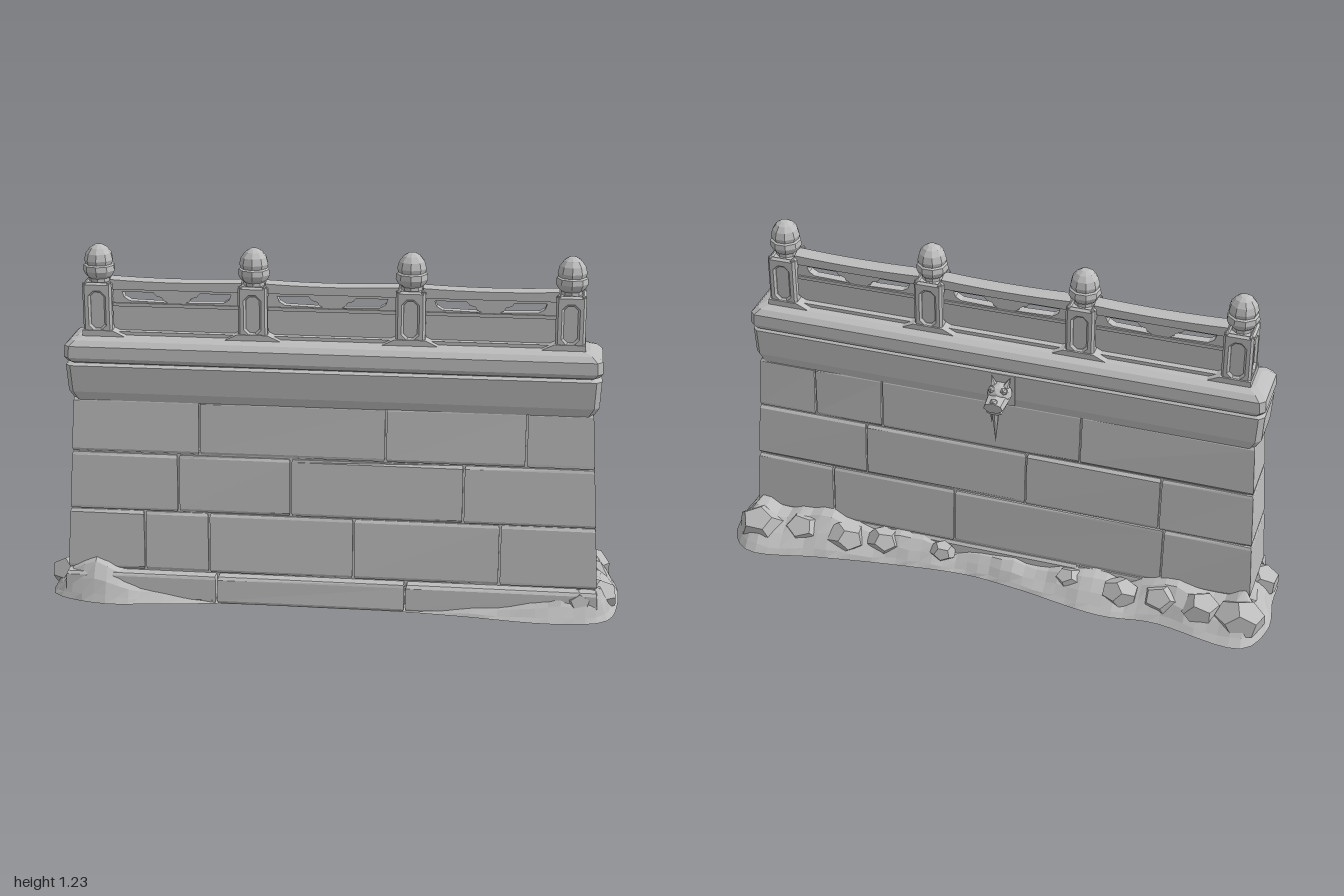
import * as THREE from 'three';

const stone = new THREE.MeshStandardMaterial({ color: 0xbdbdbd, flatShading: true, side: THREE.DoubleSide });
stone.name = 'grey stone';

let seed = 7;
const rnd = () => ((seed = (seed * 16807) % 2147483647) / 2147483647) - 0.5;

function add(parent, name, geo, x = 0, y = 0, z = 0) {
  const m = new THREE.Mesh(geo, stone);
  m.name = name;
  m.position.set(x, y, z);
  parent.add(m);
  return m;
}

// Skin between rings of [x, y, z]; rings run counter-clockwise seen from above, bottom first
function loft(rings, capBottom, capTop) {
  const pos = [], n = rings[0].length;
  const tri = (...p) => p.forEach(q => pos.push(...q));
  for (let k = 0; k + 1 < rings.length; k++) {
    for (let i = 0; i < n; i++) {
      const j = (i + 1) % n, [lo, hi] = [rings[k], rings[k + 1]];
      tri(lo[i], lo[j], hi[j]);
      tri(lo[i], hi[j], hi[i]);
    }
  }
  const first = rings[0], last = rings[rings.length - 1];
  for (let i = 1; i + 1 < n; i++) {
    if (capTop) tri(last[0], last[i], last[i + 1]);
    if (capBottom) tri(first[0], first[i + 1], first[i]);
  }
  const g = new THREE.BufferGeometry();
  g.setAttribute('position', new THREE.Float32BufferAttribute(pos, 3));
  g.computeVertexNormals();
  return g;
}

// Rectangle with clipped corners
function rectRing(y, hx, zf, zb, c = 0.012) {
  return [[-hx + c, y, zf], [hx - c, y, zf], [hx, y, zf - c], [hx, y, zb + c],
    [hx - c, y, zb], [-hx + c, y, zb], [-hx, y, zb + c], [-hx, y, zf - c]];
}

const polygon = pts => new THREE.Shape(pts.map(p => new THREE.Vector2(...p)));
const extrude = (shape, depth) =>
  new THREE.ExtrudeGeometry(shape, { depth, bevelEnabled: false }).translate(0, 0, -depth / 2);

// Battered wall faces
const frontZ = y => 0.163 - 0.06 * y;
const backZ = y => -0.09 + 0.062 * y;
const halfX = y => 0.925 - 0.055 * y;
const MID = 0.04, GAP = 0.003;

function buildWall(root) {
  const wall = new THREE.Group();
  wall.name = 'wall';
  root.add(wall);
  // Hollow core, open underneath
  add(wall, 'wallCore', loft([0, 0.72].map(y =>
    rectRing(y, halfX(y) - 0.012, frontZ(y) - 0.01, backZ(y) + 0.01)), false, true));

  // Courses: bottom, top, seams on the front, seams on the back
  const courses = [
    [0, 0.095, [-0.39, 0.265], [-0.3, 0.35]],
    [0.1, 0.312, [-0.645, -0.42, 0.083, 0.585], [-0.6, 0.16, 0.62]],
    [0.316, 0.518, [-0.525, -0.135, 0.457], [-0.58, -0.1, 0.49]],
    [0.523, 0.712, [-0.45, 0.19, 0.665], [-0.29, 0.43, 0.68]],
  ];
  courses.forEach(([y0, y1, front, back], row) => {
    [front, back].forEach((seams, side) => {
      const xs = [-2, ...seams, 2];
      for (let i = 0; i + 1 < xs.length; i++) {
        const step = row === 0 && side === 0 ? 0.032 : 0;
        const face = y => (side ? backZ(y) : frontZ(y) + step);
        const left = y => (i === 0 ? -halfX(y) : xs[i] + GAP);
        const right = y => (i === xs.length - 2 ? halfX(y) : xs[i + 1] - GAP);
        const ring = (y, inset) => {
          const w = side ? inset : -inset;
          const l = left(y) + inset * 0.6, r = right(y) - inset * 0.6;
          const za = face(y) + w + rnd() * 0.006, zb = face(y) + w + rnd() * 0.006;
          // The footing course is only a facing around the hollow core
          const inner = row ? MID : face(y) - (side ? -0.012 : 0.043);
          return side ? [[l, y, inner], [r, y, inner], [r, y, zb], [l, y, za]]
            : [[l, y, za], [r, y, zb], [r, y, inner], [l, y, inner]];
        };
        add(wall, side ? 'backBlock' : 'frontBlock', loft([
          ring(y0, 0.005), ring(y0 + 0.01, 0), ring(y1 - 0.01, 0), ring(y1, 0.005)], true, true));
      }
    });
  });

  // Cornice and coping
  add(wall, 'cornice', loft([
    [0.705, 0.885, 0.12, -0.046], [0.735, 0.903, 0.128, -0.05], [0.83, 0.908, 0.138, -0.051],
    [0.838, 0.893, 0.125, -0.042], [0.845, 0.9, 0.14, -0.055], [0.86, 0.911, 0.148, -0.062],
    [0.9, 0.908, 0.146, -0.06], [0.918, 0.89, 0.13, -0.045], [0.928, 0.865, 0.108, -0.022],
  ].map(r => rectRing(...r, 0.018)), true, true));
}

// Bevelled frame plate with an arched recess
function framePlate(w, h, hw, hh) {
  const s = polygon([[-w / 2, 0], [w / 2, 0], [w / 2, h], [-w / 2, h]]);
  const a = hw / 2, y0 = (h - hh) / 2, y1 = y0 + hh, c = a * 0.6;
  s.holes.push(polygon([[-a, y0 + c], [-a + c, y0], [a - c, y0], [a, y0 + c],
    [a, y1 - c], [a - c, y1], [-a + c, y1], [-a, y1 - c]]));
  return new THREE.ExtrudeGeometry(s, {
    depth: 0.004, bevelThickness: 0.008, bevelSize: 0.007, bevelOffset: -0.007, bevelSegments: 1,
  });
}

// Feet spread out by the given reach to the left and right
function buildPost(root, x, reachL, reachR) {
  const post = new THREE.Group();
  post.name = 'post';
  post.position.set(x, 0.92, 0.043);
  root.add(post);
  add(post, 'postCore', new THREE.BoxGeometry(0.078, 0.186, 0.092), 0, 0.095, 0);
  for (let k = 0; k < 4; k++) {
    const onSide = k % 2;
    const pivot = new THREE.Group();
    pivot.name = onSide ? 'postSidePanel' : 'postFacePanel';
    pivot.rotation.y = k * Math.PI / 2;
    post.add(pivot);
    add(pivot, 'framePlate', onSide ? framePlate(0.112, 0.192, 0.05, 0.125) : framePlate(0.098, 0.192, 0.046, 0.125),
      0, 0, onSide ? 0.038 : 0.045);
  }
  const finial = [[0, 0.185], [0.036, 0.188], [0.036, 0.2], [0.047, 0.21], [0.055, 0.226], [0.053, 0.244],
    [0.046, 0.248], [0.05, 0.262], [0.044, 0.285], [0.03, 0.303], [0.014, 0.313], [0, 0.314]];
  add(post, 'finial', new THREE.LatheGeometry(finial.map(p => new THREE.Vector2(...p)), 9));
  add(post, 'postFoot', extrude(polygon([[-reachL, 0], [reachR, 0], [0.052, 0.028], [-0.052, 0.028]]), 0.125));
}

function buildBay(root, x) {
  const bay = new THREE.Group();
  bay.name = 'balustradeBay';
  bay.position.set(x, 0, 0.043);
  root.add(bay);
  // Pierced panel with a hanging cloud shape left between two slots
  const panel = polygon([[-0.225, 0.92], [0.225, 0.92], [0.225, 1.09], [-0.225, 1.09]]);
  for (const s of [-1, 1]) {
    panel.holes.push(polygon([[0.187, 1.074], [0.18, 1.055], [0.16, 1.043], [0.03, 1.039],
      [0.045, 1.046], [0.05, 1.056], [0.07, 1.062], [0.08, 1.074]].map(([px, py]) => [s * px, py])));
  }
  add(bay, 'piercedPanel', extrude(panel, 0.03));
  // Worn top rail, sagging towards its middle
  const rail = new THREE.BoxGeometry(0.45, 0.042, 0.058, 8, 1, 2);
  const p = rail.attributes.position;
  for (let i = 0; i < p.count; i++) {
    const u = p.getX(i) / 0.225;
    if (p.getY(i) > 0) {
      p.setY(i, p.getY(i) - 0.006 * (1 - u * u) - (Math.abs(p.getZ(i)) > 0.01 ? 0.008 : 0));
    }
  }
  rail.computeVertexNormals();
  add(bay, 'topRail', rail, 0, 1.106, 0);
  add(bay, 'middleRail', new THREE.BoxGeometry(0.44, 0.012, 0.042), 0, 1.03, 0);
  add(bay, 'bottomRail', new THREE.BoxGeometry(0.45, 0.02, 0.075), 0, 0.93, 0);
}

// Carved beast-head drain with an icicle, on the back
function buildSpout(root) {
  const g = new THREE.Group();
  g.name = 'drainSpout';
  g.position.set(-0.01, 0.77, -0.05);
  root.add(g);
  add(g, 'spoutPlate', new THREE.BoxGeometry(0.09, 0.12, 0.016), 0, 0, 0.004);
  add(g, 'spoutHead', new THREE.IcosahedronGeometry(0.04, 1).scale(1.1, 0.95, 1.05), 0, 0, -0.027);
  const taper = (wide, high) => new THREE.CylinderGeometry(wide * 0.85, wide, 0.075, 7)
    .rotateX(-Math.PI / 2).scale(1, high, 1);
  add(g, 'upperJaw', taper(0.041, 0.6), 0, -0.01, -0.066).rotation.x = -0.12;
  add(g, 'lowerJaw', taper(0.032, 0.4), 0, -0.033, -0.055).rotation.x = -0.15;
  add(g, 'nose', new THREE.IcosahedronGeometry(0.015, 0), 0, 0.003, -0.092);
  for (const s of [-1, 1]) {
    const ear = add(g, 'ear', new THREE.ConeGeometry(0.015, 0.045, 5), s * 0.026, 0.04, -0.02);
    ear.rotation.set(0.3, 0, -s * 0.35);
    add(g, 'brow', new THREE.IcosahedronGeometry(0.014, 0), s * 0.022, 0.024, -0.048);
  }
  for (const [x, z, len, r] of [[0, -0.072, 0.13, 0.014], [0.016, -0.064, 0.06, 0.009]]) {
    add(g, 'icicle', new THREE.ConeGeometry(r, len, 6).rotateX(Math.PI), x, -0.042 - len / 2, z);
  }
}

// Rubble skirt, open underneath: outline points are x, z and the height reached against the wall
function buildRubble(root) {
  const outline = [[-0.97, 0.17, 0.09], [-0.8, 0.24, 0.13], [-0.6, 0.225, 0.05], [-0.35, 0.195, 0.01],
    [0, 0.193, 0.005], [0.25, 0.195, 0.015], [0.45, 0.21, 0.045], [0.78, 0.24, 0.08], [0.95, 0.2, 0.11],
    [0.995, 0.05, 0.09], [0.98, -0.17, 0.11], [0.9, -0.25, 0.13], [0.65, -0.21, 0.12], [0.4, -0.17, 0.1],
    [0.1, -0.14, 0.07], [-0.1, -0.16, 0.08], [-0.42, -0.21, 0.09], [-0.6, -0.19, 0.11],
    [-0.93, -0.23, 0.13], [-0.995, -0.1, 0.11], [-0.98, 0.05, 0.09]];
  const curve = new THREE.CatmullRomCurve3(outline.map(([x, z, h]) => new THREE.Vector3(x, h, z)), true);
  const pts = curve.getSpacedPoints(110).slice(0, -1);
  const lumps = pts.map((p, i) => p.y * (0.72 + 0.4 * Math.abs(Math.sin(i * 0.42)) + rnd() * 0.15));
  const rings = [[0, 0], [0.12, 0.2], [0.35, 0.55], [0.65, 0.9], [1, 1]].map(([s, up]) => pts.map((p, i) => {
    const wx = THREE.MathUtils.clamp(p.x, -0.9, 0.9);
    const wz = THREE.MathUtils.clamp(p.z, -0.07, 0.145);
    const t = s > 0 && s < 1 ? s + rnd() * 0.1 : s;
    return [p.x + (wx - p.x) * t, Math.max(0, lumps[i] * up), p.z + (wz - p.z) * t];
  }));
  add(root, 'rubbleSkirt', loft(rings, false, false));

  // Boulders half sunk in the skirt: x, z, radius
  const boulders = [[-0.9, -0.14, 0.085], [-0.76, -0.13, 0.075], [-0.62, -0.12, 0.07], [-0.47, -0.13, 0.065],
    [-0.28, -0.11, 0.05], [0.2, -0.1, 0.045], [0.42, -0.11, 0.06], [0.56, -0.13, 0.07], [0.72, -0.13, 0.075],
    [0.88, -0.15, 0.085], [0.92, 0.1, 0.07], [-0.92, 0.09, 0.07], [-0.8, 0.165, 0.05], [0.86, 0.165, 0.05]];
  for (const [x, z, r] of boulders) {
    const geo = new THREE.DodecahedronGeometry(r, 0).rotateY(x * 9).rotateX(x * 4).scale(1.1, 0.9, 0.85);
    const p = geo.attributes.position;
    for (let i = 0; i < p.count; i++) p.setY(i, Math.max(p.getY(i), -0.04));
    add(root, 'boulder', geo, x, 0.055, z);
  }
}

export function createModel() {
  const root = new THREE.Group();
  root.name = 'stoneWall';
  buildWall(root);
  [-0.797, -0.266, 0.266, 0.797].forEach((x, i) =>
    buildPost(root, x, i === 0 ? 0.054 : 0.11, i === 3 ? 0.054 : 0.11));
  [-0.531, 0, 0.531].forEach(x => buildBay(root, x));
  buildSpout(root);
  buildRubble(root);
  return root;
}
